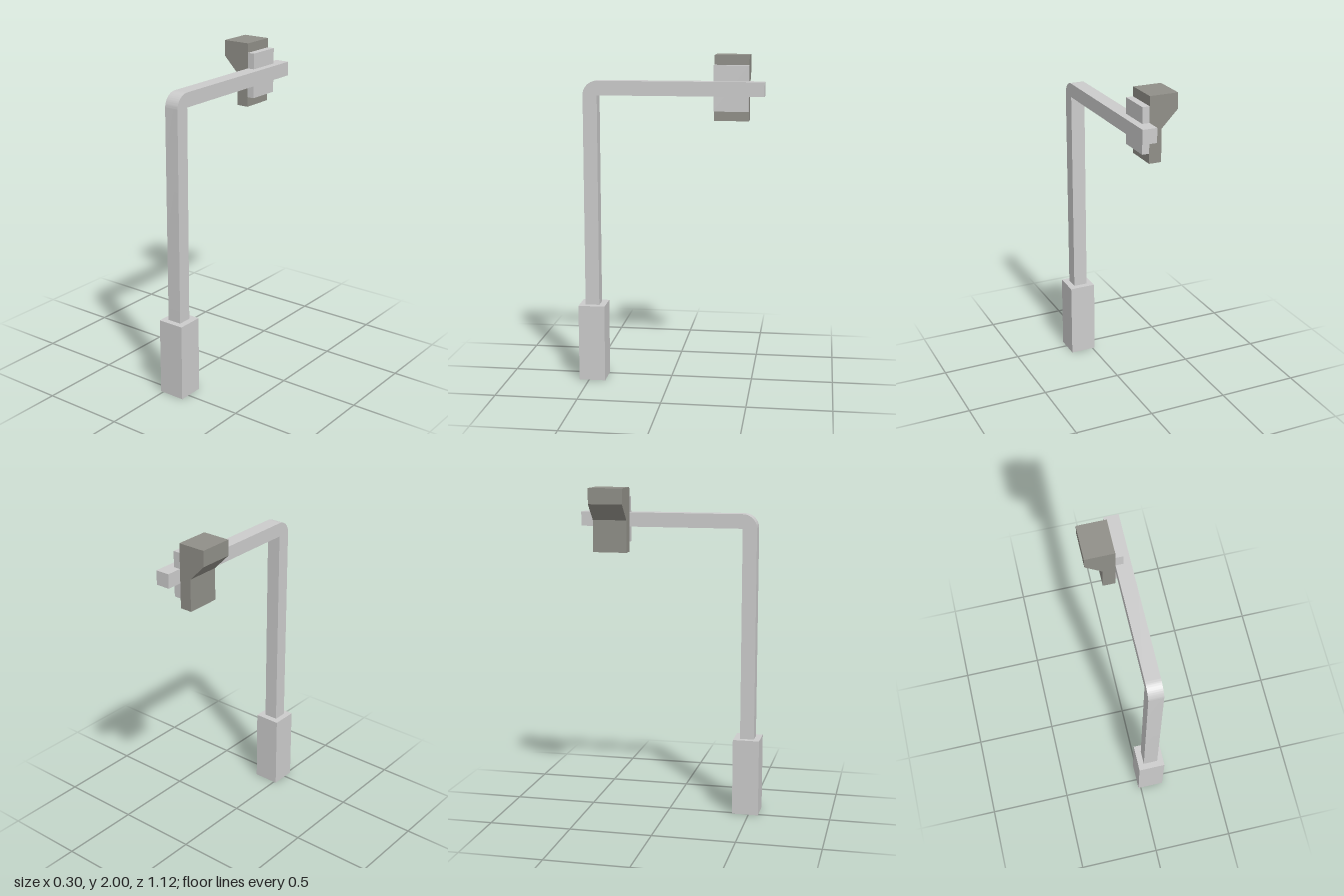
import * as THREE from 'three';
import { toCreasedNormals } from 'three/addons/utils/BufferGeometryUtils.js';

const grey = new THREE.MeshStandardMaterial({ color: 0xcccccc });
const dark = new THREE.MeshStandardMaterial({ color: 0x908f88 });

export function createModel() {
  const model = new THREE.Group();

  const add = (name, geometry, material) => {
    const mesh = new THREE.Mesh(geometry, material);
    mesh.name = name;
    model.add(mesh);
  };

  // Box given by its minimum and maximum corners
  const box = (min, max) => {
    const size = max.map((v, i) => v - min[i]);
    return new THREE.BoxGeometry(...size)
      .translate(...min.map((v, i) => v + size[i] / 2));
  };

  // Square handle at the foot
  add('handle', box([-0.016, 0, 0.398], [0.148, 0.473, 0.56]), grey);

  // Bent square bar: outer corner rounded, inner corner sharp (shape x is -z)
  const bar = new THREE.Shape();
  bar.moveTo(-0.437, 0.473);
  bar.lineTo(-0.437, 1.762);
  bar.lineTo(0.56, 1.762);
  bar.lineTo(0.56, 1.848);
  bar.lineTo(-0.437, 1.848);
  bar.absarc(-0.437, 1.762, 0.086, Math.PI / 2, Math.PI, false);
  bar.lineTo(-0.523, 0.473);
  const barGeometry = new THREE.ExtrudeGeometry(bar, { depth: 0.088, bevelEnabled: false, curveSegments: 16 });
  barGeometry.rotateY(Math.PI / 2).translate(0.021, 0, 0);
  add('bentBar', toCreasedNormals(barGeometry, 0.5), grey);

  // Clamp plate around the bar
  add('clampPlate', box([0.021, 1.67, -0.465], [0.065, 1.943, -0.256]), grey);

  // Jaw with a sloped overhang
  const jaw = new THREE.Shape([
    [0.021, 1.61], [0.021, 2], [-0.152, 2], [-0.152, 1.905], [-0.054, 1.805], [-0.054, 1.61],
  ].map(([x, y]) => new THREE.Vector2(x, y)));
  const jawGeometry = new THREE.ExtrudeGeometry(jaw, { depth: 0.209, bevelEnabled: false });
  add('jaw', jawGeometry.translate(0, 0, -0.465), dark);

  return model;
}
